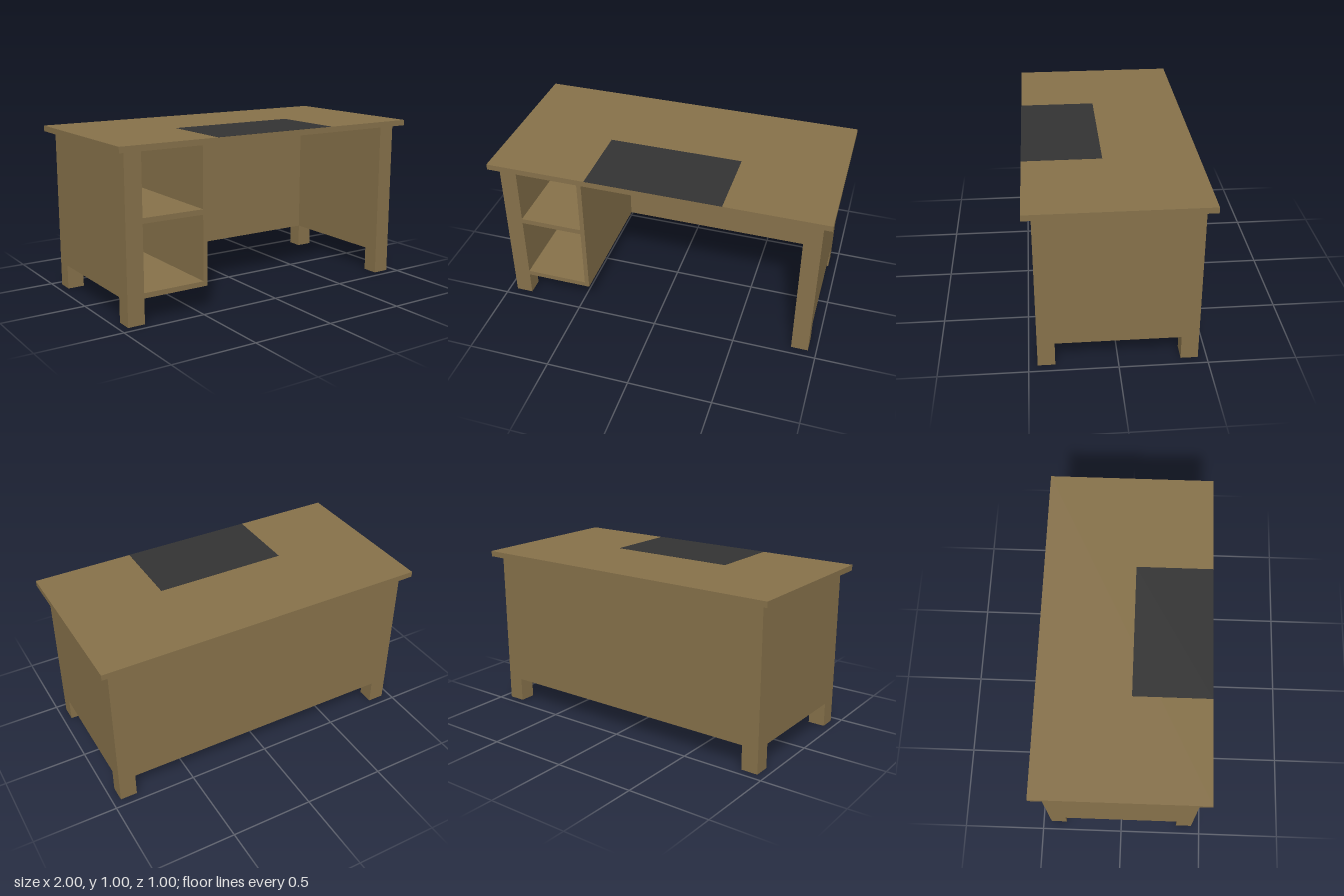
import * as THREE from 'three';

const wood = new THREE.MeshStandardMaterial({ color: 0x86714a });
const dark = new THREE.MeshStandardMaterial({ color: 0x333333 });

// Box given by its min and max on each axis
function slab(name, [x0, x1], [y0, y1], [z0, z1], material = wood) {
  const mesh = new THREE.Mesh(new THREE.BoxGeometry(x1 - x0, y1 - y0, z1 - z0), material);
  mesh.position.set((x0 + x1) / 2, (y0 + y1) / 2, (z0 + z1) / 2);
  mesh.name = name;
  return mesh;
}

export function createModel() {
  const desk = new THREE.Group();
  desk.name = 'desk';

  const outX = 0.95, inX = 0.848; // outer and inner faces of legs and side panels
  const outZ = 0.45, inZ = 0.352;
  const base = 0.147, under = 0.961, top = 0.995;

  desk.add(slab('tabletop', [-1, 1], [under, top], [-0.5, 0.5]));
  desk.add(slab('deskMat', [-0.4, 0.4], [top, top + 0.001], [0.045, 0.5], dark));

  // Corner legs and side panels flush with them
  for (const side of [-1, 1]) {
    const xs = side < 0 ? [-outX, -inX] : [inX, outX];
    const label = side < 0 ? 'right' : 'left';
    desk.add(slab(label + 'FrontLeg', xs, [0, under], [inZ, outZ]));
    desk.add(slab(label + 'BackLeg', xs, [0, under], [-outZ, -inZ]));
    desk.add(slab(label + 'SidePanel', xs, [base, under], [-inZ, inZ]));
  }

  desk.add(slab('backPanel', [-inX, inX], [base, under], [-outZ, -inZ]));

  // Open shelf unit on the right
  const shelves = new THREE.Group();
  shelves.name = 'shelfUnit';
  const divider = [-0.47, -0.443], depth = [-inZ, outZ];
  shelves.add(slab('divider', divider, [base, under], depth));
  shelves.add(slab('bottomShelf', [-inX, divider[0]], [base, 0.177], depth));
  shelves.add(slab('middleShelf', [-inX, divider[0]], [0.563, 0.594], depth));
  desk.add(shelves);

  return desk;
}
